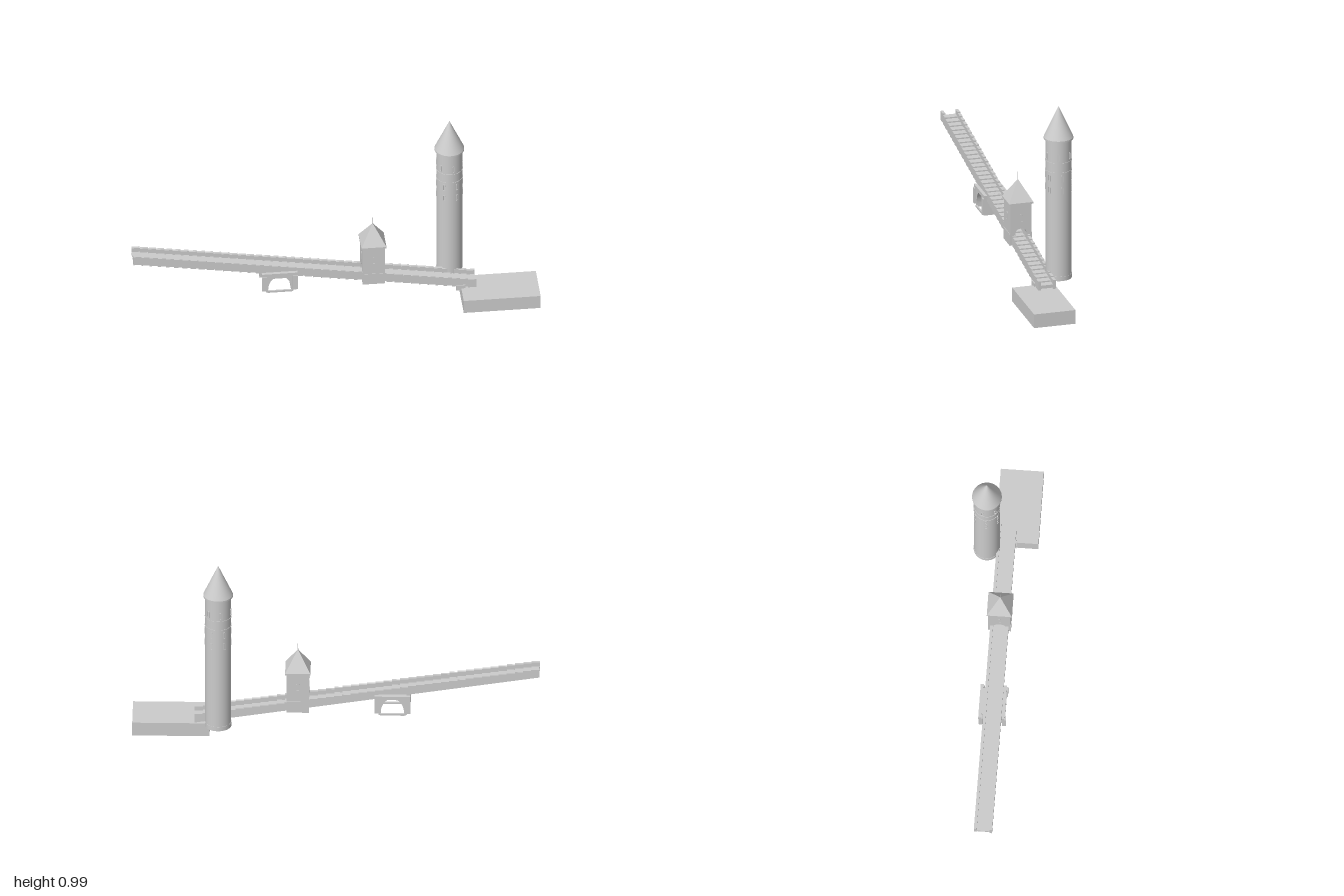
import * as THREE from 'three';

const mat = new THREE.MeshStandardMaterial({ color: 0xcccccc, side: THREE.DoubleSide });
const ZC = 0.005; // centre line of the walkway

function add(parent, name, geo, x = 0, y = 0, z = 0) {
  const m = new THREE.Mesh(geo, mat);
  m.name = name;
  m.position.set(x, y, z);
  parent.add(m);
  return m;
}

// box given by its limits
function box(parent, name, x0, x1, y0, y1, z0, z1) {
  return add(parent, name, new THREE.BoxGeometry(x1 - x0, y1 - y0, z1 - z0),
    (x0 + x1) / 2, (y0 + y1) / 2, (z0 + z1) / 2);
}

const extrude = (shape, depth) =>
  new THREE.ExtrudeGeometry(shape, { depth, bevelEnabled: false, curveSegments: 16 });

// round-topped outline, standing on y0, centred on cx
function archPath(P, cx, y0, w, h, rise = w / 2) {
  const p = new P();
  p.moveTo(cx - w / 2, y0);
  p.lineTo(cx + w / 2, y0);
  p.lineTo(cx + w / 2, y0 + h - rise);
  p.absellipse(cx, y0 + h - rise, w / 2, rise, 0, Math.PI, false);
  p.lineTo(cx - w / 2, y0);
  return p;
}

// arched window surround, facing +z, centred on the origin
function windowGeometry(w, h, depth) {
  const s = archPath(THREE.Shape, 0, -h / 2, w, h);
  s.holes.push(archPath(THREE.Path, 0, -h / 2 + 0.002, w - 0.004, h - 0.004));
  return extrude(s, depth).translate(0, 0, -depth / 2);
}

// sloping walkway
const X0 = -1, X1 = 0.695, STEPS = 42, PITCH = (X1 - X0) / STEPS;
const slope = x => 0.39 - 0.162 * (x - X0);

function edge(offset, stepped) {
  if (!stepped) return [[X0, slope(X0) + offset], [X1, slope(X1) + offset]];
  const pts = [];
  for (let i = 0; i < STEPS; i++) {
    const x = X0 + i * PITCH, y = slope(x + PITCH / 2) + offset;
    pts.push([x, y], [x + PITCH, y]);
  }
  return pts;
}

function ramp(parent, name, z0, z1, top, bottom, stepBottom) {
  const pts = [...edge(top, true), ...edge(bottom, stepBottom).reverse()];
  const s = new THREE.Shape(pts.map(p => new THREE.Vector2(...p)));
  add(parent, name, extrude(s, z1 - z0), 0, 0, z0);
}

function walkway() {
  const g = new THREE.Group();
  g.name = 'walkway';
  ramp(g, 'stairs', -0.03, 0.04, -0.023, -0.036, false);
  ramp(g, 'frontParapet', 0.036, 0.05, 0, -0.048, true);
  ramp(g, 'backParapet', -0.04, -0.026, 0, -0.045, false);
  box(g, 'footBlock', 0.595, 0.64, 0.06, 0.09, 0.036, 0.055);
  return g;
}

function archSupport() {
  const g = new THREE.Group();
  g.name = 'archSupport';
  const cx = -0.278, z0 = -0.052, z1 = 0.062;
  // vault block, open underneath
  const s = new THREE.Shape();
  s.moveTo(cx - 0.068, 0.13);
  s.lineTo(cx - 0.068, 0.24);
  s.lineTo(cx + 0.068, 0.24);
  s.lineTo(cx + 0.068, 0.13);
  s.lineTo(cx + 0.057, 0.13);
  s.lineTo(cx + 0.057, 0.145);
  s.absellipse(cx, 0.145, 0.057, 0.078, 0, Math.PI, false);
  s.lineTo(cx - 0.057, 0.13);
  add(g, 'vault', extrude(s, z1 - z0), 0, 0, z0);
  for (const side of [-1, 1]) {
    const zf = side > 0 ? z1 : z0;
    box(g, 'sill', cx - 0.06, cx + 0.06, 0.13, 0.14, zf - 0.004, zf + 0.004);
    box(g, 'cornice', cx - 0.088, cx + 0.088, 0.222, 0.241, zf - 0.012, zf + 0.004);
    for (const k of [-1, 1]) {
      const x = cx + k * 0.076, z = zf + side * 0.001;
      box(g, 'buttress', x - 0.012, x + 0.012, 0.145, 0.225, z - 0.009, z + 0.009);
    }
  }
  return g;
}

function gateTower() {
  const g = new THREE.Group();
  g.name = 'gateTower';
  g.position.set(0.187, 0, ZC);
  const h = 0.055;
  // walls with a passage running along x
  const s = new THREE.Shape();
  s.moveTo(-h, 0.14);
  s.lineTo(h, 0.14);
  s.lineTo(h, 0.352);
  s.lineTo(-h, 0.352);
  s.closePath();
  s.holes.push(archPath(THREE.Path, 0, 0.15, 0.058, 0.075, 0.026));
  add(g, 'walls', extrude(s, 2 * h).translate(0, 0, -h).rotateY(Math.PI / 2));
  for (const k of [-1, 1])
    box(g, 'plinth', -h - 0.001, h + 0.001, 0.139, 0.2, k * h - 0.002, k * h + 0.002);
  const win = windowGeometry(0.017, 0.04, 0.004);
  for (let i = 0; i < 4; i++) {
    const a = i * Math.PI / 2;
    add(g, 'window', win, Math.sin(a) * h, 0.281, Math.cos(a) * h).rotation.y = a;
  }
  // pyramid roof and spire
  box(g, 'eaves', -0.062, 0.062, 0.352, 0.361, -0.062, 0.062);
  const roof = new THREE.ConeGeometry(0.062 * Math.SQRT2, 0.105, 4).rotateY(Math.PI / 4).toNonIndexed();
  roof.computeVertexNormals();
  add(g, 'roof', roof, 0, 0.4135, 0);
  add(g, 'spire', new THREE.CylinderGeometry(0.0008, 0.0018, 0.05, 8), 0, 0.48, 0);
  return g;
}

function roundTower() {
  const g = new THREE.Group();
  g.name = 'roundTower';
  g.position.set(0.577, 0, -0.088);
  const R = 0.064;
  const drum = (name, r, y0, y1, top = r) =>
    add(g, name, new THREE.CylinderGeometry(top, r, y1 - y0, 48), 0, (y0 + y1) / 2, 0);
  drum('shaft', R, 0.087, 0.82);
  drum('footing', R + 0.0015, 0.087, 0.11);
  for (const y of [0.655, 0.705]) drum('stringCourse', R + 0.002, y - 0.002, y + 0.002);
  drum('eaves', 0.073, 0.817, 0.825);
  add(g, 'roof', new THREE.ConeGeometry(0.073, 0.161, 48), 0, 0.9055, 0);
  // three rings of six windows
  const win = windowGeometry(0.014, 0.036, 0.005);
  for (const [y, turn] of [[0.562, 90], [0.625, 90], [0.737, 73]])
    for (let i = 0; i < 6; i++) {
      const a = (turn + i * 60) * Math.PI / 180;
      add(g, 'window', win, Math.sin(a) * R, y, Math.cos(a) * R).rotation.y = a;
    }
  return g;
}

export function createModel() {
  const model = new THREE.Group();
  model.name = 'castleWalkway';
  box(model, 'baseBlock', 0.62, 1, 0, 0.072, -0.05, 0.162);
  model.add(walkway(), archSupport(), gateTower(), roundTower());
  return model;
}
